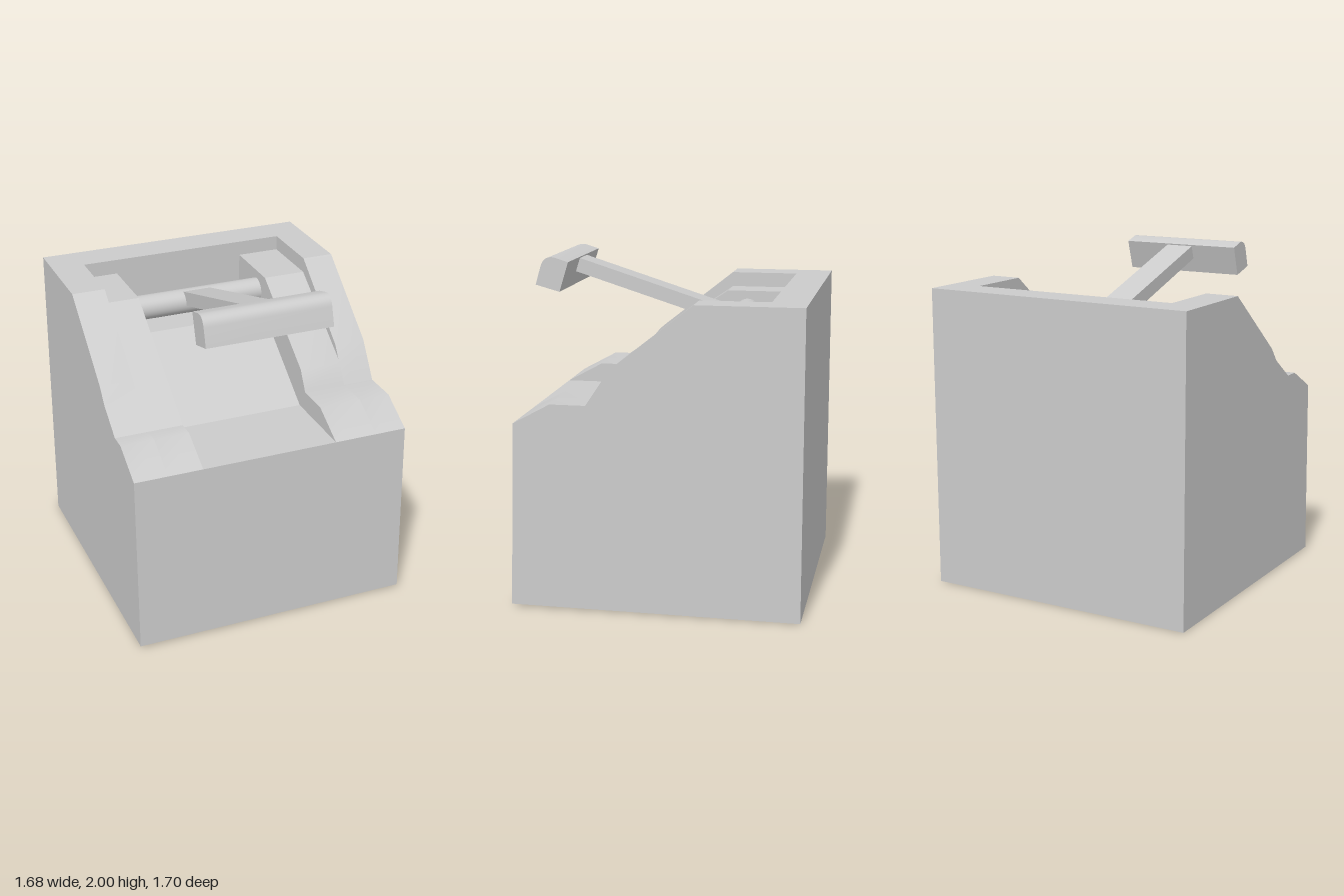
import * as THREE from 'three';
import { toCreasedNormals } from 'three/addons/utils/BufferGeometryUtils.js';

const material = new THREE.MeshStandardMaterial({ color: 0xcccccc });

function addMesh(parent, name, geometry) {
  const mesh = new THREE.Mesh(geometry, material);
  mesh.name = name;
  parent.add(mesh);
  return mesh;
}

// Extrudes a side profile drawn in (z, y) across the width x0..x1
function extrudeAcross(shape, x0, x1) {
  const geometry = new THREE.ExtrudeGeometry(shape, { depth: x1 - x0, bevelEnabled: false, curveSegments: 10 });
  geometry.rotateY(-Math.PI / 2).translate(x1, 0, 0);
  return toCreasedNormals(geometry, 0.5);
}

function profile(points) {
  return new THREE.Shape(points.map(([z, y]) => new THREE.Vector2(z, y)));
}

export function createModel() {
  const model = new THREE.Group();
  model.name = 'leverConsole';

  // Housing: side-by-side slices sharing the same base, front and back
  const housing = new THREE.Group();
  housing.name = 'housing';
  model.add(housing);

  const base = [[-0.85, 0], [0.85, 0.01], [0.82, 1.1]];
  const ledge = [0.6, 1.22];
  const wallTop = [[0.25, 1.43], [-0.23, 1.81], [-0.85, 1.81]];
  const backWall = [[-0.64, 1.81], [-0.85, 1.81]];
  const shelfTop = [[-0.23, 1.72], [-0.64, 1.72], ...backWall];

  const slices = [
    ['rightWall', -0.845, -0.645, [ledge, [0.5, 1.22], [0.32, 1.345], ...wallTop]],
    ['rightShelf', -0.645, -0.435, [ledge, [0.5, 1.22], ...shelfTop]],
    ['trough', -0.435, 0.39, [[0.32, 1.1], [-0.23, 1.48], [-0.64, 1.48], ...backWall]],
    ['leftShelf', 0.39, 0.65, [ledge, [0.39, 1.22], [0.32, 1.34], ...shelfTop]],
    ['leftWall', 0.65, 0.84, [ledge, [0.39, 1.22], ...wallTop]],
  ];
  for (const [name, x0, x1, top] of slices) {
    addMesh(housing, name, extrudeAcross(profile([...base, ...top]), x0, x1));
  }

  // Pivot bar spanning the trough
  const lever = new THREE.Group();
  lever.name = 'lever';
  model.add(lever);
  const bar = addMesh(lever, 'pivotBar', new THREE.CylinderGeometry(0.075, 0.075, 0.835, 32));
  bar.rotation.z = Math.PI / 2;
  bar.position.set(-0.0225, 1.595, -0.355);

  // Arm rising forward from the bar to the grip
  const start = new THREE.Vector3(-0.0225, 1.617, -0.35);
  const end = new THREE.Vector3(-0.0225, 1.93, 0.64);
  const arm = addMesh(lever, 'arm', new THREE.BoxGeometry(0.175, 0.085, start.distanceTo(end)));
  arm.position.addVectors(start, end).multiplyScalar(0.5);
  arm.lookAt(end);

  // Grip with a rounded upper front edge
  const grip = new THREE.Shape();
  grip.moveTo(0.66, 1.795);
  grip.lineTo(0.805, 1.835);
  grip.lineTo(0.773, 1.945);
  grip.bezierCurveTo(0.76, 1.985, 0.735, 2.005, 0.69, 1.998);
  grip.lineTo(0.605, 1.972);
  grip.closePath();
  addMesh(lever, 'grip', extrudeAcross(grip, -0.41, 0.355));

  return model;
}
